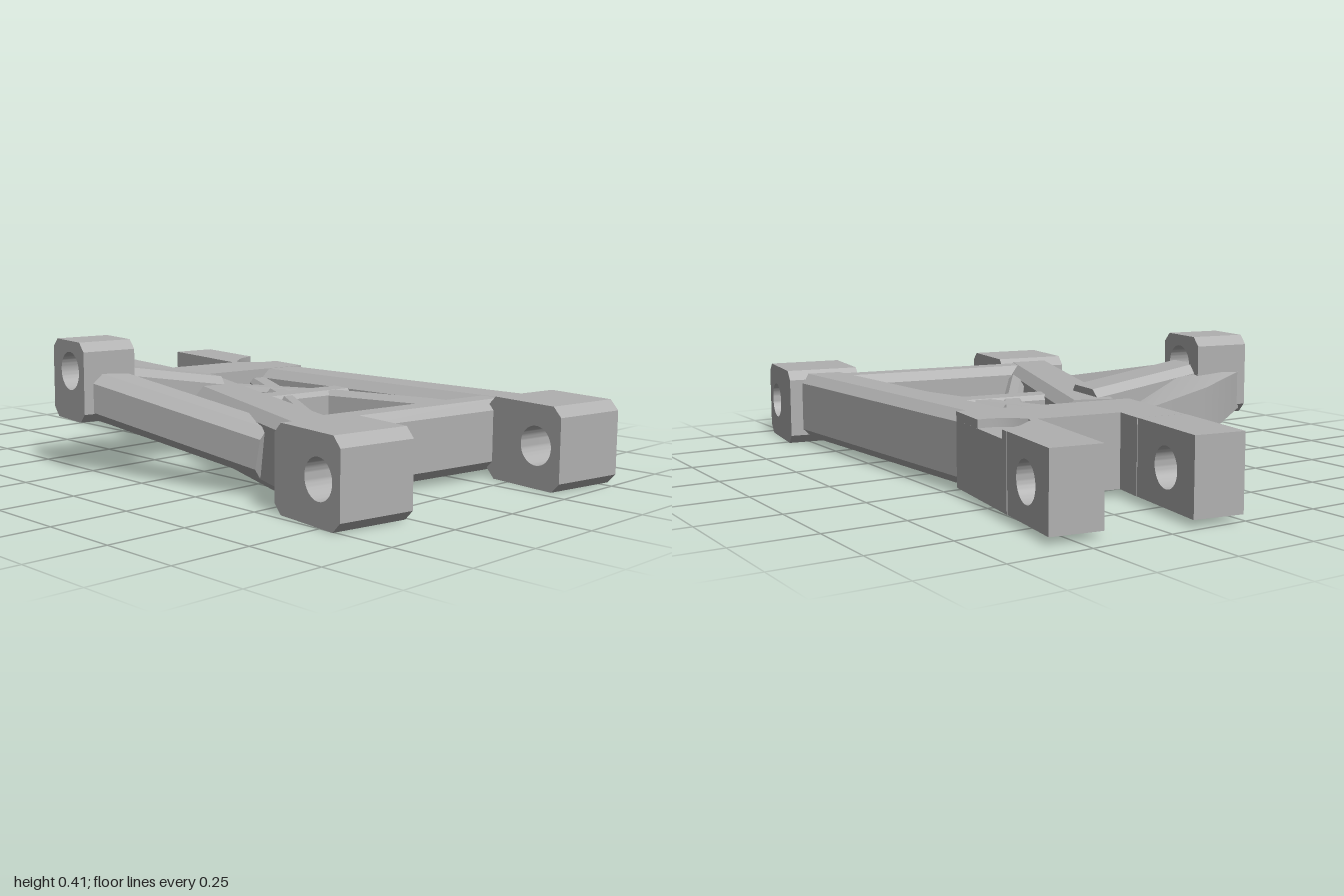
import * as THREE from 'three';
import { toCreasedNormals } from 'three/addons/utils/BufferGeometryUtils.js';
import { ConvexGeometry } from 'three/addons/geometries/ConvexGeometry.js';

const TURN = 0.15; // pivot axes are turned slightly in plan

export function createModel() {
  const group = new THREE.Group();
  const grey = new THREE.MeshStandardMaterial({ color: 0xb0b0b0 });
  grey.name = 'grey plastic';

  function add(name, geometry) {
    const mesh = new THREE.Mesh(toCreasedNormals(geometry, 0.6), grey);
    mesh.name = name;
    group.add(mesh);
    return mesh;
  }

  // Rectangle w x h with cut corners
  function cutRect(w, h, c) {
    const x = w / 2, y = h / 2;
    const corners = c === 0
      ? [[-x, -y], [x, -y], [x, y], [-x, y]]
      : [[-x + c, -y], [x - c, -y], [x, -y + c], [x, y - c],
        [x - c, y], [-x + c, y], [-x, y - c], [-x, -y + c]];
    return new THREE.Shape(corners.map(p => new THREE.Vector2(...p)));
  }

  // Bored block whose hole follows the turned pivot axis
  function lug(name, [x, y, z], w, h, depth, cut, [hx, hy]) {
    const shape = cutRect(w, h, cut);
    const hole = new THREE.Path();
    hole.absarc(hx, hy, 0.06, 0, Math.PI * 2, true);
    shape.holes.push(hole);
    const geometry = new THREE.ExtrudeGeometry(shape, { depth, bevelEnabled: false, curveSegments: 32 });
    geometry.translate(0, 0, -depth / 2);
    const mesh = add(name, geometry);
    mesh.position.set(x, y, z);
    mesh.rotation.y = -TURN;
  }

  // Straight bar with cut edges running from a to b
  function beam(name, a, b, w, h, cut) {
    const start = new THREE.Vector3(...a), end = new THREE.Vector3(...b);
    const mesh = add(name, new THREE.ExtrudeGeometry(cutRect(w, h, cut), {
      depth: start.distanceTo(end), bevelEnabled: false,
    }));
    mesh.position.copy(start);
    mesh.lookAt(end);
  }

  // Flat slab drawn in plan as x, z points
  function slab(name, points, y0, y1) {
    const shape = new THREE.Shape(points.map(([x, z]) => new THREE.Vector2(x, -z)));
    const geometry = new THREE.ExtrudeGeometry(shape, { depth: y1 - y0, bevelEnabled: false });
    geometry.rotateX(-Math.PI / 2);
    geometry.translate(0, y0, 0);
    add(name, geometry);
  }

  // Outer pivot lugs
  lug('frontOuterLug', [0.708, 0.128, 0.367], 0.29, 0.256, 0.247, 0.03, [0.052, 0.002]);
  lug('backOuterLug', [0.828, 0.128, -0.432], 0.295, 0.256, 0.247, 0.03, [0.052, 0.002]);

  // Fork prongs
  lug('frontProng', [-0.84, 0.1325, -0.0625], 0.303, 0.225, 0.155, 0, [-0.005, 0]);
  lug('backProng', [-0.80, 0.1325, -0.479], 0.257, 0.225, 0.155, 0, [0.01, 0]);

  // Fork base, with a shallow round relief cut into its top layer
  const base = [[-0.30, -0.483], [-0.377, 0.082], [-0.70, 0.035], [-0.678, -0.118],
    [-0.577, -0.10], [-0.54, -0.36], [-0.685, -0.382], [-0.661, -0.538]];
  slab('forkBase', base, 0.02, 0.22);
  const relief = [[-0.63, -0.533], [-0.605, -0.46], [-0.55, -0.39]];
  for (let i = 0; i <= 6; i++) {
    const t = 0.95 - i * 0.17;
    relief.push([-0.615 + 0.155 * Math.cos(t), -0.495 + 0.14 * Math.sin(t)]);
  }
  relief.push([-0.46, -0.507]);
  slab('forkTop', [...base, ...relief], 0.22, 0.245);

  // Main arms and the end bar
  const mid = 0.1325;
  beam('backArm', [-0.36, mid, -0.392], [0.74, mid, -0.451], 0.17, 0.223, 0.03);
  beam('frontArm', [-0.33, mid, -0.015], [0.63, mid, 0.358], 0.185, 0.223, 0.03);
  beam('endBar', [0.632, mid, -0.40], [0.54, mid, 0.28], 0.125, 0.22, 0.03);

  // Crossed bracing between the arms
  const braces = [
    [[-0.36, -0.315], [0.05, -0.075], 0.075],
    [[0.02, -0.09], [0.50, 0.235], 0.06],
    [[-0.36, -0.06], [0.06, -0.235], 0.075],
    [[0.03, -0.235], [0.57, -0.375], 0.06],
    [[0.055, -0.32], [0.005, 0.06], 0.1],
  ];
  braces.forEach(([a, b, w], i) =>
    beam('brace' + (i + 1), [a[0], 0.13, a[1]], [b[0], 0.13, b[1]], w, 0.17 + i * 0.002, 0.015));

  // Raised bracket and its supports
  lug('raisedLug', [-0.284, 0.29, 0.463], 0.207, 0.25, 0.177, 0.028, [0.01, 0.03]);
  beam('bracketBar', [-0.222, 0.195, 0.035], [-0.272, 0.255, 0.40], 0.168, 0.145, 0.025);
  beam('rightStrut', [-0.22, 0.245, 0.467], [0.38, 0.13, 0.32], 0.145, 0.15, 0.03);

  // Bent side strut: plan point with bottom and top heights
  const side = [[-0.46, 0.05, 0.10, 0.215], [-0.40, 0.06, 0.10, 0.215], [-0.345, 0.30, 0.16, 0.29],
    [-0.35, 0.50, 0.18, 0.31], [-0.39, 0.52, 0.18, 0.30], [-0.487, 0.30, 0.12, 0.275]];
  add('sideStrut', new ConvexGeometry(side.flatMap(([x, z, low, high]) =>
    [new THREE.Vector3(x, low, z), new THREE.Vector3(x, high, z)])));

  return group;
}
